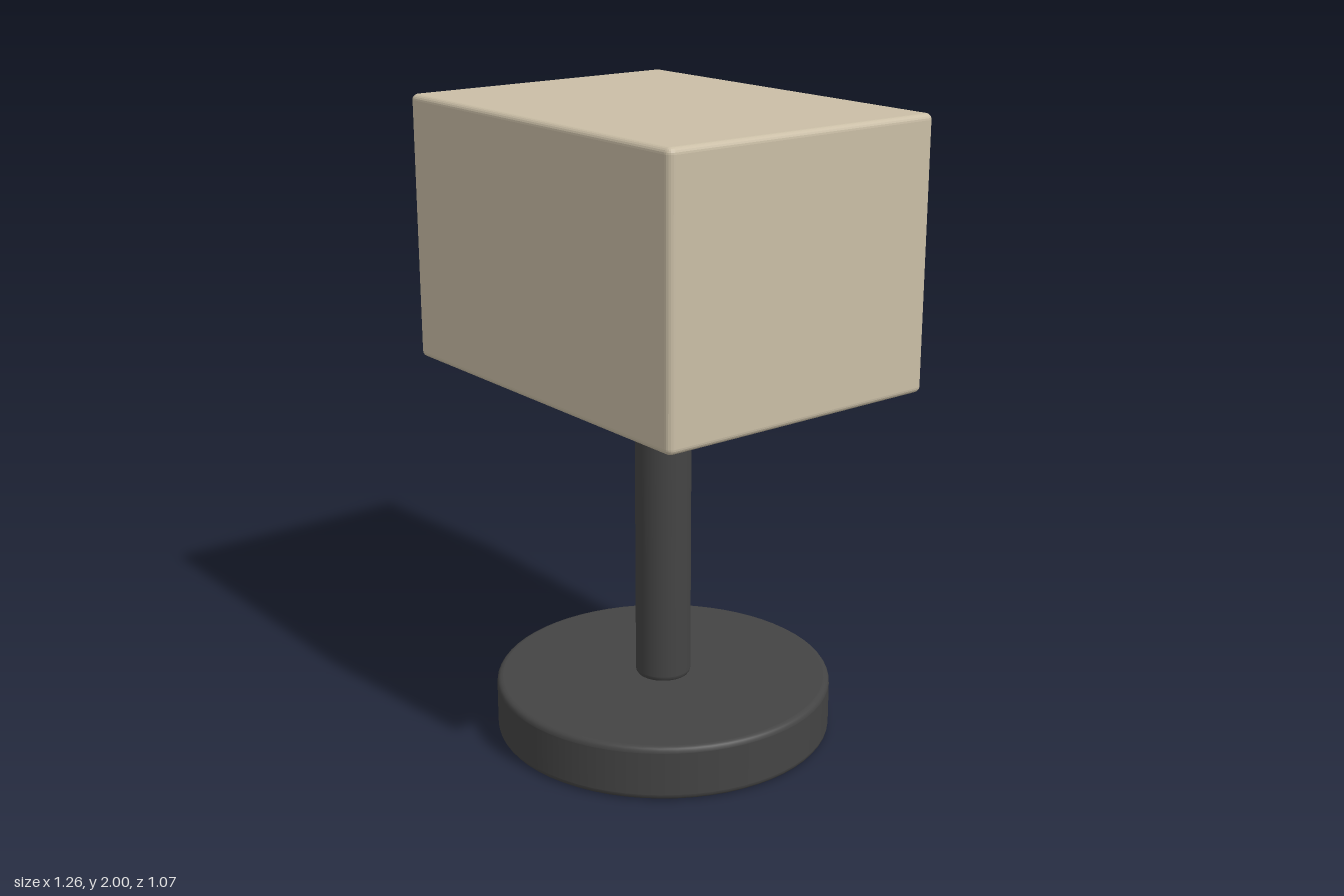
import * as THREE from 'three';

const shadeMat = new THREE.MeshStandardMaterial({ name: 'beige shade', color: 0xcabea6 });
const darkMat = new THREE.MeshStandardMaterial({ name: 'charcoal', color: 0x444444 });
const woodMat = new THREE.MeshStandardMaterial({ name: 'warm wood', color: 0xa97e4b });

// Upright disc with softly rounded rims; extra profile points keep the flats flat.
function roundedDisc(name, radius, y0, y1, bevel, material) {
  const e = 0.001;
  const pts = [[0, y0], [radius - bevel - e, y0]];
  for (const [cy, start] of [[y0 + bevel, -Math.PI / 2], [y1 - bevel, 0]]) {
    if (start === 0) pts.push([radius, cy - e]);
    for (let i = 0; i <= 4; i++) {
      const a = start + (i / 4) * Math.PI / 2;
      pts.push([radius - bevel + bevel * Math.cos(a), cy + bevel * Math.sin(a)]);
    }
    if (start !== 0) pts.push([radius, cy + e]);
  }
  pts.push([radius - bevel - e, y1], [0, y1]);
  const profile = pts.map(([x, y]) => new THREE.Vector2(x, y));
  const mesh = new THREE.Mesh(new THREE.LatheGeometry(profile, 64), material);
  mesh.name = name;
  return mesh;
}

// Hollow box, open below: rounded-rectangle rings run from the top centre,
// down the outside, under the rim and up the inside to the ceiling.
function hollowShade(hx, hz, y0, y1, wall, bevel) {
  const steps = 5;
  const sections = [[Math.min(hx, hz), y1]];
  const arc = (inset, y, from, to) => {
    for (let i = 0; i <= steps; i++) {
      const a = from + (to - from) * i / steps;
      sections.push([inset - bevel * Math.cos(a), y + bevel * Math.sin(a)]);
    }
  };
  arc(bevel, y1 - bevel, Math.PI / 2, 0);
  arc(bevel, y0 + bevel, 0, -Math.PI / 2);
  sections.push([wall, y0], [wall, y1 - wall], [Math.min(hx, hz), y1 - wall]);

  const positions = [];
  const index = [];
  const count = 4 * (steps + 1);
  const corners = [[1, 1], [-1, 1], [-1, -1], [1, -1]];
  for (const [inset, y] of sections) {
    const r = Math.max(bevel - inset, 0) + 0.004;
    corners.forEach(([sx, sz], q) => {
      for (let i = 0; i <= steps; i++) {
        const a = (q + i / steps) * Math.PI / 2;
        const cx = Math.max(hx - inset - r, 0), cz = Math.max(hz - inset - r, 0);
        const rr = inset >= Math.min(hx, hz) ? 0 : r;
        positions.push(sx * cx + rr * Math.cos(a), y, sz * cz + rr * Math.sin(a));
      }
    });
  }
  for (let s = 0; s < sections.length - 1; s++) {
    for (let i = 0; i < count; i++) {
      const a = s * count + i, b = s * count + (i + 1) % count;
      index.push(a, b, b + count, a, b + count, a + count);
    }
  }
  const indexed = new THREE.BufferGeometry();
  indexed.setAttribute('position', new THREE.Float32BufferAttribute(positions, 3));
  indexed.setIndex(index);
  const geometry = indexed.toNonIndexed();
  geometry.computeVertexNormals();
  // Turn the winding so that the outside faces outwards.
  const p = geometry.attributes.position;
  let volume = 0;
  const [A, B, C] = [0, 1, 2].map(() => new THREE.Vector3());
  for (let i = 0; i < p.count; i += 3) {
    A.fromBufferAttribute(p, i);
    B.fromBufferAttribute(p, i + 1);
    C.fromBufferAttribute(p, i + 2);
    volume += A.dot(B.cross(C));
  }
  if (volume < 0) {
    for (let i = 0; i < p.count; i += 3) {
      B.fromBufferAttribute(p, i + 1);
      C.fromBufferAttribute(p, i + 2);
      p.setXYZ(i + 1, C.x, C.y, C.z);
      p.setXYZ(i + 2, B.x, B.y, B.z);
    }
    geometry.computeVertexNormals();
  }
  const mesh = new THREE.Mesh(geometry, shadeMat);
  mesh.name = 'lampShade';
  return mesh;
}

export function createModel() {
  const lamp = new THREE.Group();
  lamp.name = 'tableLamp';
  lamp.add(
    roundedDisc('base', 0.535, 0, 0.175, 0.018, darkMat),
    roundedDisc('post', 0.088, 0.17, 1.155, 0.018, darkMat),
    roundedDisc('woodenDisc', 0.412, 1.155, 1.24, 0.012, woodMat),
    hollowShade(0.632, 0.48, 1.175, 2, 0.066, 0.018),
  );
  return lamp;
}
